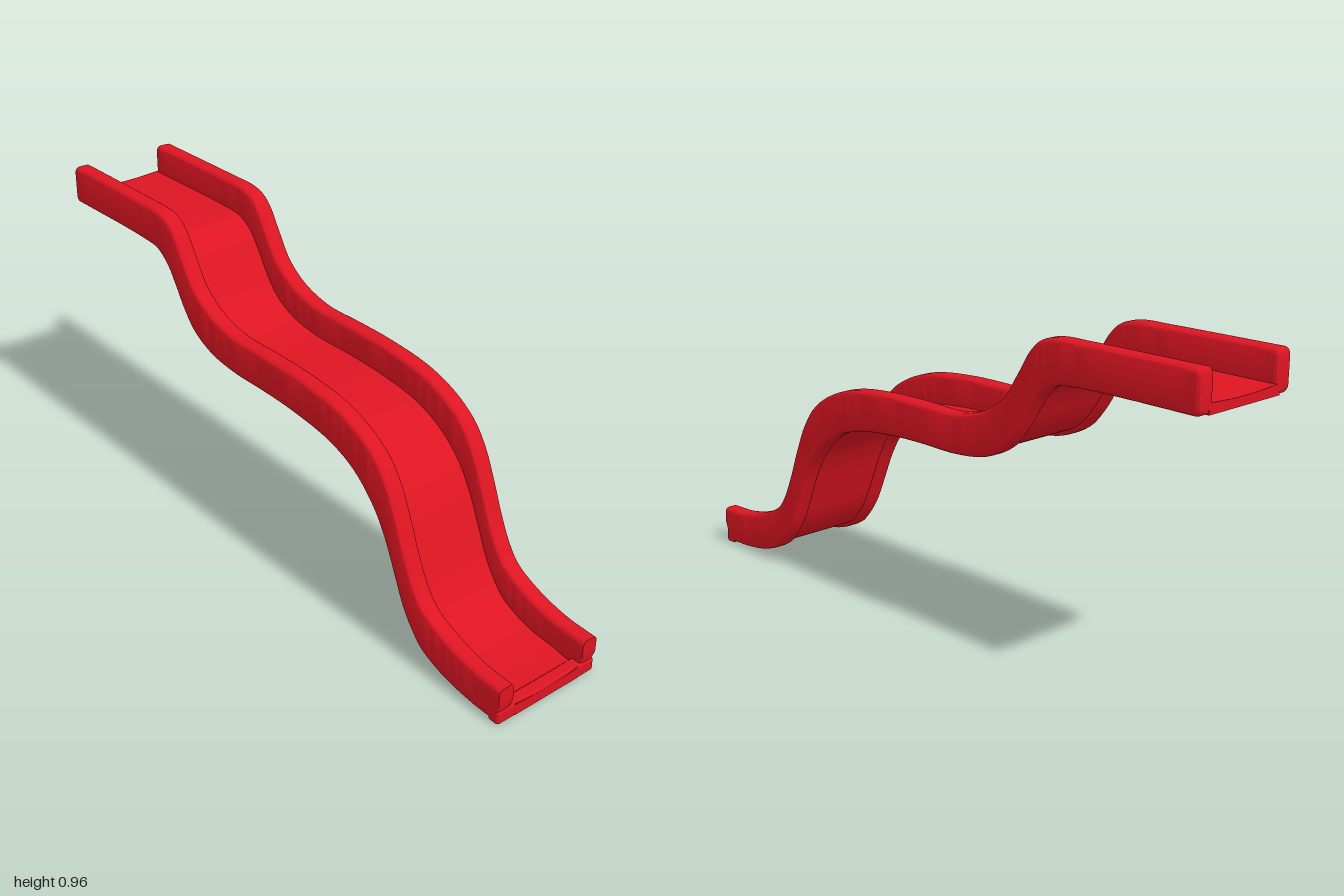
import * as THREE from 'three';
import { toCreasedNormals } from 'three/addons/utils/BufferGeometryUtils.js';
import { RoundedBoxGeometry } from 'three/addons/geometries/RoundedBoxGeometry.js';

const HALF_WIDTH = 0.184, INNER = 0.128;

// Side profile of the slide: [z, underside height, top height], front to back
const profile = [
  [1, 0.005, 0.12], [0.89, 0.008, 0.126], [0.783, 0.025, 0.153], [0.7, 0.06, 0.195],
  [0.66, 0.1, 0.244], [0.622, 0.155, 0.32], [0.584, 0.238, 0.415], [0.54, 0.335, 0.51],
  [0.488, 0.415, 0.577], [0.407, 0.488, 0.628], [0.3, 0.533, 0.662], [0.14, 0.555, 0.678],
  [0, 0.56, 0.68], [-0.15, 0.56, 0.68], [-0.263, 0.576, 0.71], [-0.343, 0.614, 0.764],
  [-0.397, 0.673, 0.842], [-0.44, 0.74, 0.909], [-0.477, 0.79, 0.941], [-0.53, 0.826, 0.954],
  [-0.61, 0.835, 0.955], [-0.97, 0.835, 0.955], [-0.985, 0.835, 0.955], [-1, 0.835, 0.955],
];
const curve = new THREE.CatmullRomCurve3(profile.map(([z, b, t]) => new THREE.Vector3(b, t, z)));
const stations = curve.getPoints((profile.length - 1) * 6).map((p) => ({ z: p.z, bottom: p.x, top: p.y }));

const ramp = (v, a, b) => THREE.MathUtils.clamp((v - a) / (b - a), 0, 1);

// Skin a row of closed cross-sections (anticlockwise seen from the front) and cap both ends
function loft(rings) {
  const n = rings[0].length;
  const positions = [], index = [];
  rings.forEach((ring) => ring.forEach((p) => positions.push(...p)));
  for (let i = 0; i < rings.length - 1; i++) {
    for (let j = 0; j < n; j++) {
      const a = i * n + j, b = i * n + ((j + 1) % n);
      index.push(a, a + n, b, b, a + n, b + n);
    }
  }
  [0, rings.length - 1].forEach((r, end) => {
    const centre = positions.length / 3;
    positions.push(...[0, 1, 2].map((k) => rings[r].reduce((s, p) => s + p[k], 0) / n));
    for (let j = 0; j < n; j++) {
      const a = r * n + j, b = r * n + ((j + 1) % n);
      if (end) index.push(centre, b, a);
      else index.push(centre, a, b);
    }
  });
  const g = new THREE.BufferGeometry();
  g.setAttribute('position', new THREE.Float32BufferAttribute(positions, 3));
  g.setIndex(index);
  return toCreasedNormals(g, 0.7);
}

// Rounded side rail section, tucked in at its back end and lifted at the front tip
function railRing({ z, bottom, top }, side) {
  const back = ramp(z, -0.985, -1);
  const inset = 0.014 * (1 - Math.sqrt(1 - back * back));
  const front = ramp(z, 0.985, 1);
  const x0 = INNER + 0.004 * ramp(z, 0.8, 1) + inset * 0.5;
  const x1 = HALF_WIDTH - inset * 0.5;
  const y0 = bottom + inset + 0.05 * front * front;
  const y1 = top - inset;
  const r = 0.015;
  const ring = [];
  [[x1 - r, y0 + r, -90], [x1 - r, y1 - r, 0], [x0 + r, y1 - r, 90], [x0 + r, y0 + r, 180]].forEach(([cx, cy, start]) => {
    for (let k = 0; k <= 4; k++) {
      const a = THREE.MathUtils.degToRad(start + k * 22.5);
      ring.push([side * (cx + r * Math.cos(a)), cy + r * Math.sin(a), z]);
    }
  });
  return side > 0 ? ring : ring.reverse();
}

// Thin, slightly dished floor; its underside is recessed between the rails except at the back
function floorRing({ z, bottom, top }) {
  const w = 0.142 - 0.022 * ramp(z, 0.8, 0.98);
  const scale = (top - bottom) / 0.12;
  const under = bottom + 0.012 * scale * ramp(z, -0.6, -0.45) * (1 - ramp(z, 0.85, 1));
  const over = bottom + (0.031 + 0.008 * ramp(z, 0.8, 1)) * scale;
  const ring = [[-w, under, z], [w, under, z]];
  for (let k = 0; k <= 8; k++) {
    const u = 1 - k / 4;
    ring.push([u * w, over - 0.006 * scale * (1 - u * u), z]);
  }
  return ring;
}

export function createModel() {
  const group = new THREE.Group();
  group.name = 'waveSlide';
  const red = new THREE.MeshStandardMaterial({ color: 0xdd1522 });
  const add = (name, geometry) => {
    const mesh = new THREE.Mesh(geometry, red);
    mesh.name = name;
    group.add(mesh);
    return mesh;
  };

  add('slideFloor', loft(stations.map(floorRing)));
  add('leftRail', loft(stations.map((s) => railRing(s, 1))));
  add('rightRail', loft(stations.map((s) => railRing(s, -1))));

  // Full-width lip under the rail tips at the exit
  add('exitLip', new RoundedBoxGeometry(HALF_WIDTH * 2, 0.045, 0.04, 3, 0.01)).position.set(0, 0.0225, 0.98);

  return group;
}
